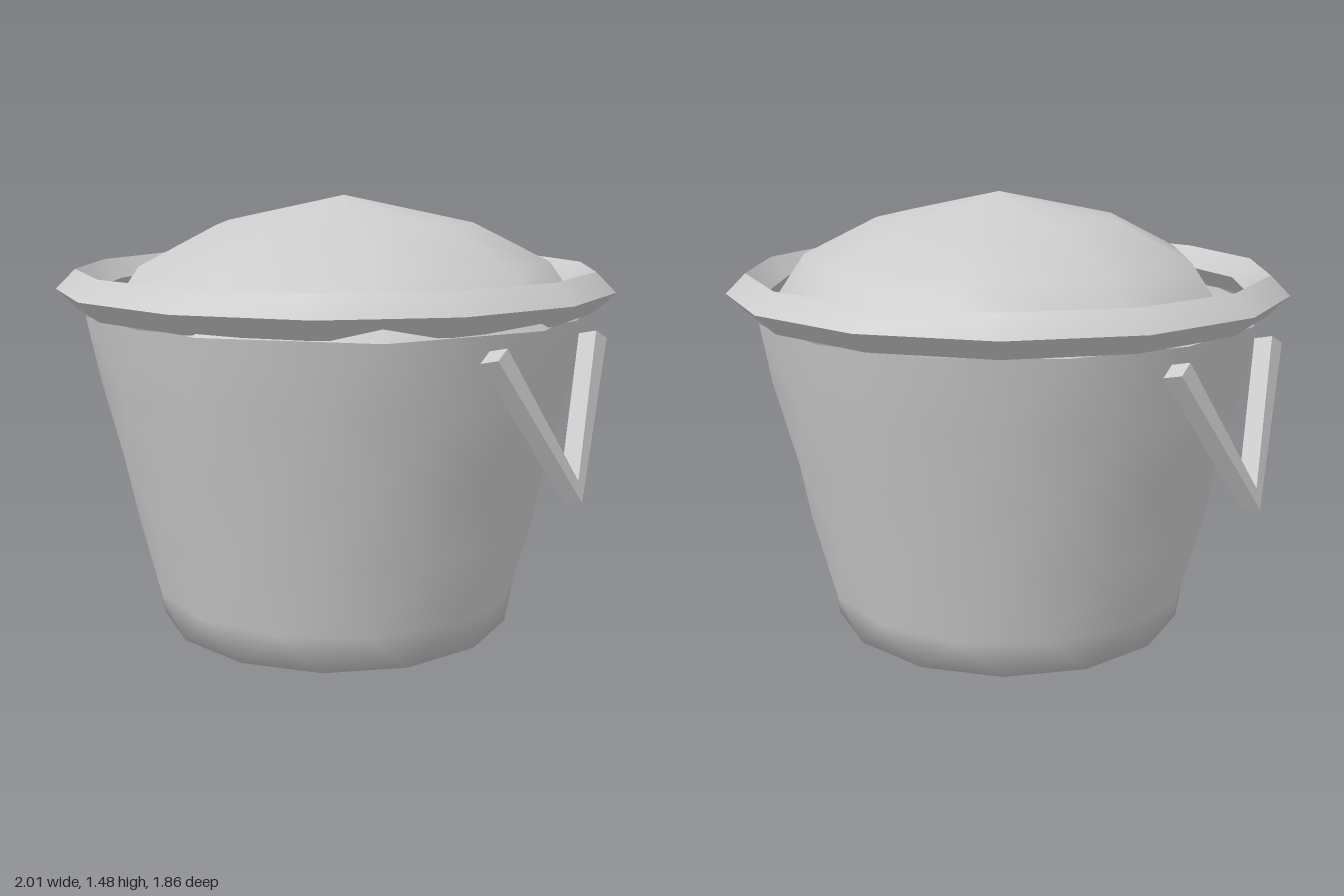
import * as THREE from 'three';
import { toCreasedNormals } from 'three/addons/utils/BufferGeometryUtils.js';

const SIDES = 14;

// Tapered wall of staggered rings (each turned half a step) with a closed floor
function bucketGeometry() {
  const heights = [0, 0.125, 0.37, 0.615, 0.86, 1.1];
  const pos = [], index = [];
  heights.forEach((y, i) => {
    const r = 0.62 + 0.227 * y;
    for (let j = 0; j < SIDES; j++) {
      const a = (j + (i % 2) * 0.5) / SIDES * Math.PI * 2;
      pos.push(r * Math.cos(a), y, r * Math.sin(a));
    }
  });
  const at = (i, j) => i * SIDES + (j % SIDES);
  const centre = heights.length * SIDES;
  pos.push(0, 0, 0);
  for (let j = 0; j < SIDES; j++) {
    index.push(centre, at(0, j), at(0, j + 1));
    for (let i = 0; i < heights.length - 1; i++) {
      if (i % 2 === 0) {
        index.push(at(i, j), at(i + 1, j), at(i, j + 1));
        index.push(at(i + 1, j), at(i + 1, j + 1), at(i, j + 1));
      } else {
        index.push(at(i, j), at(i + 1, j + 1), at(i, j + 1));
        index.push(at(i, j), at(i + 1, j), at(i + 1, j + 1));
      }
    }
  }
  const g = new THREE.BufferGeometry();
  g.setAttribute('position', new THREE.Float32BufferAttribute(pos, 3));
  g.setIndex(index);
  g.computeVertexNormals();
  return g;
}

// V-shaped carrying handle with a square section
function handleGeometry() {
  const v = [[0.3, -0.015], [0.245, 0.015], [0, -0.42], [-0.245, 0.015], [-0.3, -0.015], [0, -0.487]];
  const shape = new THREE.Shape(v.map(([x, y]) => new THREE.Vector2(x, y)));
  const g = new THREE.ExtrudeGeometry(shape, { depth: 0.064, bevelEnabled: false });
  g.translate(0, 0, -0.032);
  g.rotateY(Math.PI / 2);
  g.rotateZ(0.24);
  g.translate(0.86, 1.045, 0);
  return g;
}

export function createModel() {
  const model = new THREE.Group();
  model.name = 'filledBucket';
  const grey = new THREE.MeshStandardMaterial({ color: 0xcccccc, side: THREE.DoubleSide });
  grey.name = 'lightGrey';

  const add = (name, geometry) => {
    const mesh = new THREE.Mesh(geometry, grey);
    mesh.name = name;
    model.add(mesh);
    return mesh;
  };

  add('bucket', bucketGeometry());

  // Rim with a diamond section
  const rim = new THREE.TorusGeometry(0.886, 0.066, 4, SIDES);
  rim.rotateX(-Math.PI / 2);
  add('rim', toCreasedNormals(rim, Math.PI / 4)).position.y = 1.17;

  // Heaped contents, slightly off centre
  const profile = [[0.8, 1.1], [0.69, 1.26], [0.43, 1.39], [0, 1.48]];
  const heap = new THREE.LatheGeometry(
    profile.map(([r, y]) => new THREE.Vector2(r, y)), 9, Math.PI / 2);
  add('contents', heap).position.set(0.1, 0, 0.07);

  // Handles on both sides
  const handle = handleGeometry();
  add('leftHandle', handle);
  add('rightHandle', handle).rotation.y = Math.PI;

  return model;
}
